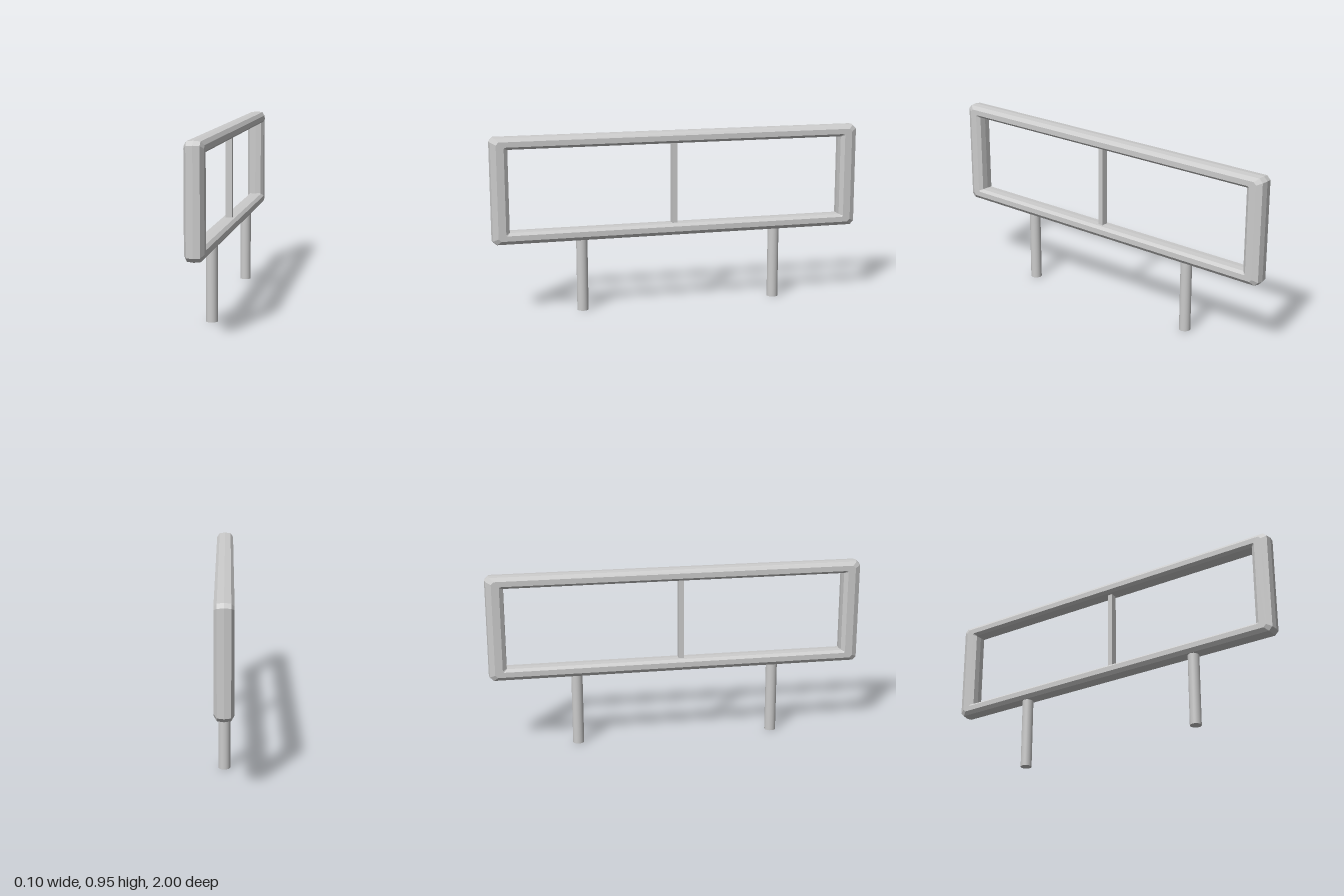
import * as THREE from 'three';

const material = new THREE.MeshStandardMaterial({ color: 0xcccccc });
const flat = new THREE.MeshStandardMaterial({ color: 0xcccccc, flatShading: true });

// Closed rectangular loop in the zy plane, t = 0 at the outer edge and 1 at the opening
function ringPoints(x, t) {
  const z = 1 - 0.095 * t;
  const top = 0.946 - 0.066 * t;
  const bottom = 0.384 + 0.066 * t;
  const c = 0.02 * (1 - t) + 0.001;
  return [
    [z - c, top], [z, top - c], [z, bottom + c], [z - c, bottom],
    [-z + c, bottom], [-z, bottom + c], [-z, top - c], [-z + c, top],
  ].map(([pz, py]) => [x, py, pz]);
}

// Bevelled section swept around the rectangle with mitred corners
function frameGeometry() {
  const half = [[0.033, 0.05], [0.048, 0.34], [0.048, 0.76], [0.033, 0.97]];
  const section = [[0, 0], ...half, [0, 1],
    ...half.slice().reverse().map(([x, t]) => [-x, t])];
  const rings = section.map(([x, t]) => ringPoints(x, t));
  const positions = [];
  for (let i = 0; i < rings.length; i++) {
    const a = rings[i], b = rings[(i + 1) % rings.length];
    for (let j = 0; j < 8; j++) {
      const k = (j + 1) % 8;
      positions.push(...a[j], ...b[j], ...b[k], ...a[j], ...b[k], ...a[k]);
    }
  }
  const geometry = new THREE.BufferGeometry();
  geometry.setAttribute('position', new THREE.Float32BufferAttribute(positions, 3));
  // Make the winding face outward, judged by the signed volume
  const p = geometry.attributes.position;
  const [a, b, c] = [0, 1, 2].map(() => new THREE.Vector3());
  let volume = 0;
  for (let i = 0; i < p.count; i += 3) {
    a.fromBufferAttribute(p, i);
    b.fromBufferAttribute(p, i + 1);
    c.fromBufferAttribute(p, i + 2);
    volume += a.dot(b.cross(c));
  }
  if (volume < 0) {
    for (let i = 0; i < p.count; i += 3) {
      b.fromBufferAttribute(p, i + 1);
      c.fromBufferAttribute(p, i + 2);
      p.setXYZ(i + 1, c.x, c.y, c.z);
      p.setXYZ(i + 2, b.x, b.y, b.z);
    }
  }
  geometry.computeVertexNormals();
  return geometry;
}

export function createModel() {
  const model = new THREE.Group();
  const add = (name, geometry, mat, y, z) => {
    const mesh = new THREE.Mesh(geometry, mat);
    mesh.name = name;
    mesh.position.set(0, y, z);
    model.add(mesh);
  };

  add('frame', frameGeometry(), flat, 0, 0);

  // Thin upright dividing the opening
  add('divider', new THREE.BoxGeometry(0.036, 0.45, 0.028), flat, 0.665, 0.024);

  // Round posts on the ground
  const post = new THREE.CylinderGeometry(0.03, 0.03, 0.4, 24);
  add('frontPost', post, material, 0.2, 0.527);
  add('backPost', post, material, 0.2, -0.538);

  return model;
}
